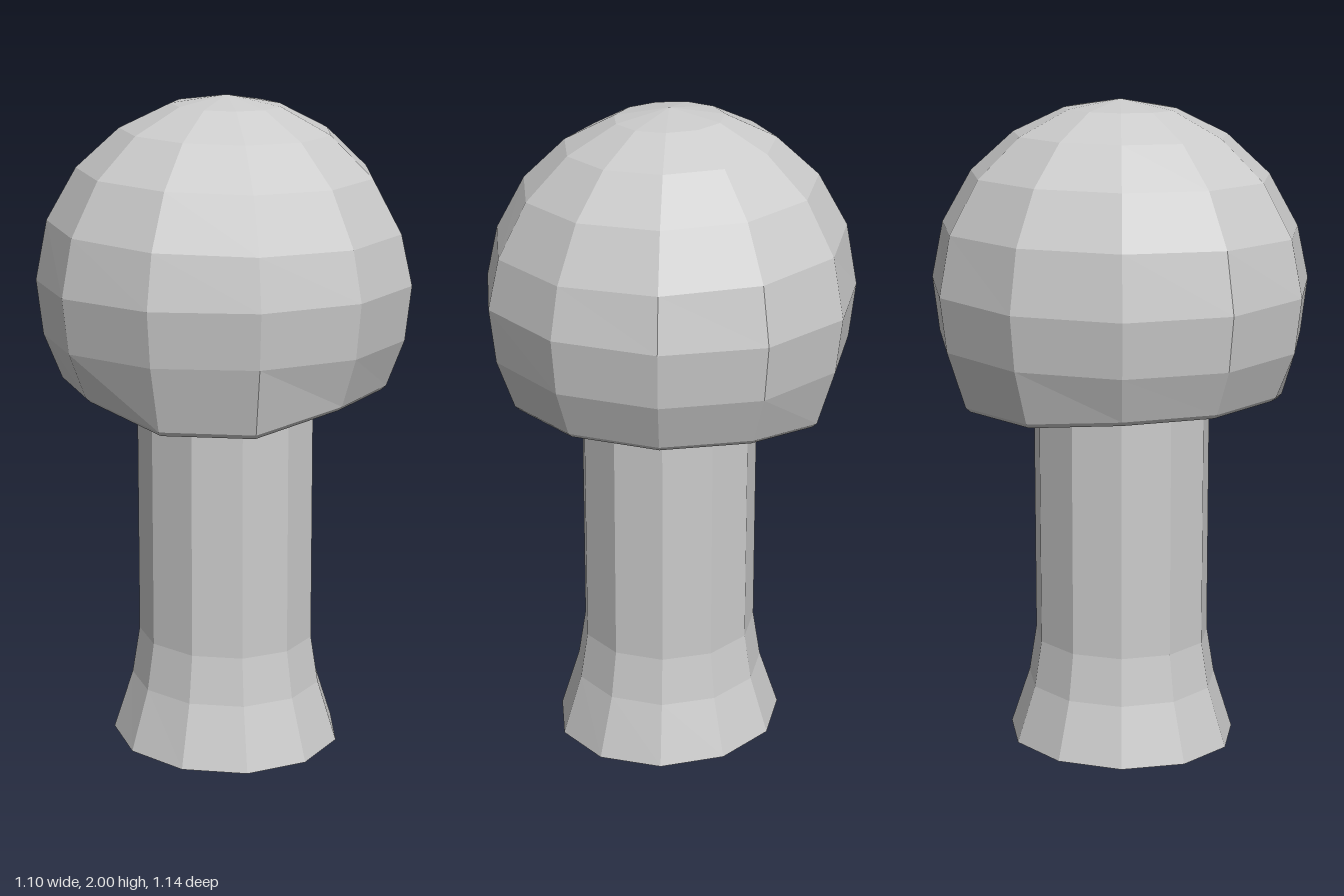
import * as THREE from 'three';

const SIDES = 11;

// Low-poly turned part with a corner on +x; bend(v, k) nudges each vertex, k being its corner number
function turned(name, profile, bend) {
  const points = profile.map(([r, y]) => new THREE.Vector2(r, y));
  const geometry = new THREE.LatheGeometry(points, SIDES, Math.PI / 2);
  const pos = geometry.attributes.position;
  const v = new THREE.Vector3();
  for (let i = 0; i < pos.count; i++) {
    v.fromBufferAttribute(pos, i);
    const k = (Math.round(Math.atan2(v.z, v.x) / (2 * Math.PI / SIDES)) + SIDES) % SIDES;
    bend(v, k);
    pos.setXYZ(i, v.x, v.y, v.z);
  }
  geometry.computeVertexNormals();
  const material = new THREE.MeshStandardMaterial({ color: 0xcccccc, flatShading: true });
  const mesh = new THREE.Mesh(geometry, material);
  mesh.name = name;
  return mesh;
}

export function createModel() {
  const group = new THREE.Group();
  group.name = 'mushroom';

  // Stem: straight shaft with a flared foot cut at a slight tilt
  const stem = [[0, 0], [0.352, 0], [0.293, 0.2], [0.27, 0.345], [0.27, 1.45], [0, 1.45]];
  group.add(turned('stem', stem, (v) => {
    if (v.y < 0.1) v.y = 0.0165 - 0.045 * v.x - 0.012 * v.z;
    else if (v.y < 0.4) v.y -= 0.03 * v.x;
    v.x -= 0.012;
    v.z -= 0.004;
  }));

  // Cap: hollow dome, outer skin from rim to crown and a thinner copy inside
  const outer = [
    [0.487, 1.14], [0.54, 1.287], [0.559, 1.452], [0.525, 1.62],
    [0.438, 1.778], [0.312, 1.897], [0.163, 1.972], [0, 2.0],
  ];
  const inner = outer.map(([r, y]) => [r * 0.93, y < 1.2 ? y - 0.005 : 1.45 + (y - 1.45) * 0.93]).reverse();
  const lip = [[0.472, 1.126]];

  // Height of the uneven rim at each corner
  const rim = [0, -0.053, -0.05, 0.01, 0.012, 0.01, -0.018, -0.025, 0.005, 0.007, 0.007];
  group.add(turned('cap', [...inner, ...lip, ...outer], (v, k) => {
    if (v.y < 1.2) v.y += rim[k];
    else if (v.y > 1.5) v.y -= 0.036 * v.x;
    v.x -= 0.013;
    v.z = v.z * (1.03 - 0.02 * v.x) - 0.007;
  }));

  return group;
}
